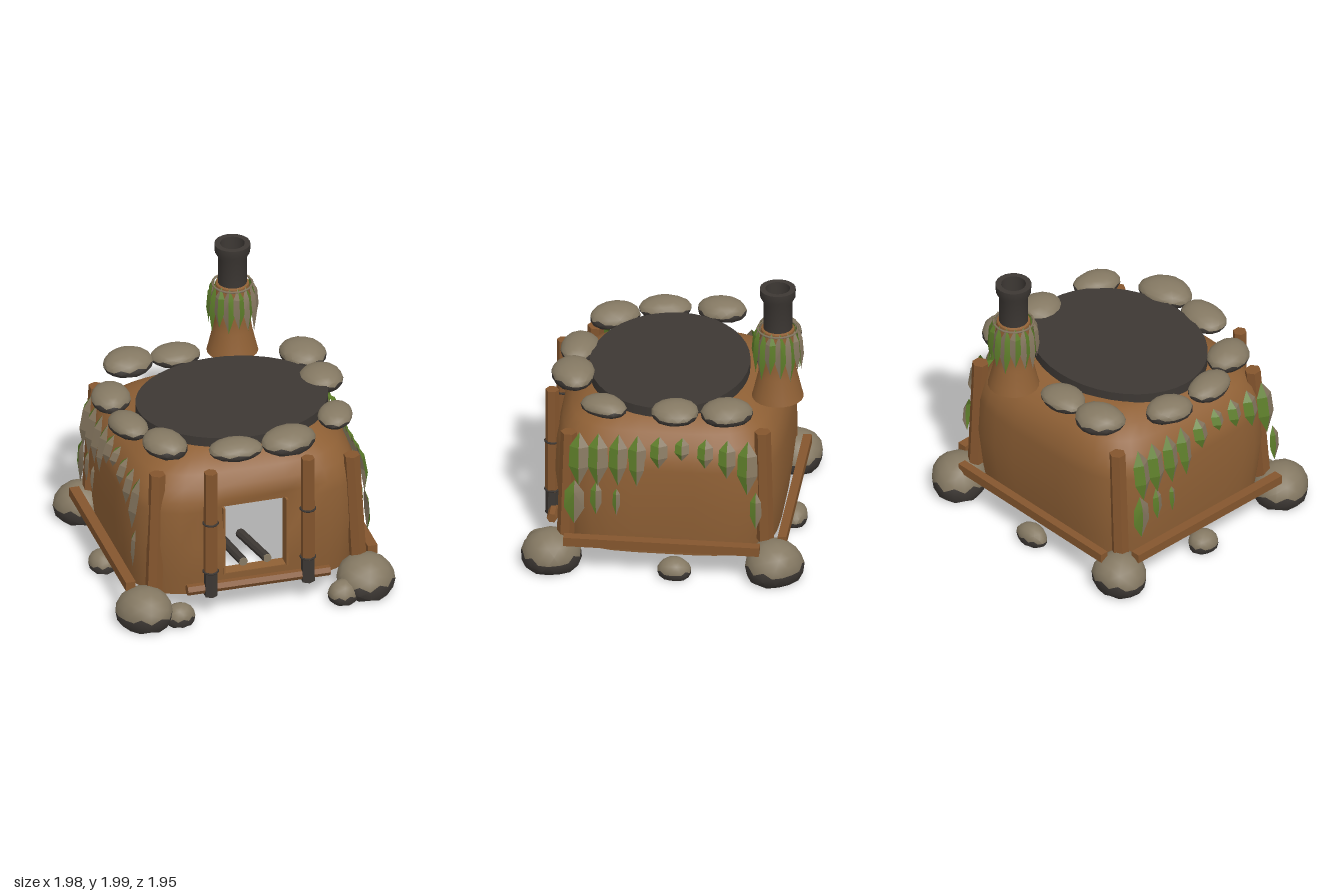
import * as THREE from 'three';
import { mergeVertices, toCreasedNormals } from 'three/addons/utils/BufferGeometryUtils.js';

const mat = (name, color, side = THREE.FrontSide) => {
  const m = new THREE.MeshStandardMaterial({ color, side });
  m.name = name;
  return m;
};

export function createModel() {
  const root = new THREE.Group();
  root.name = 'clayOven';
  const clay = mat('clay', 0x8f6035, THREE.DoubleSide);
  const wood = mat('wood', 0x85562e);
  const stone = mat('stone', 0x857963);
  const charcoal = mat('charcoal', 0x3d3834, THREE.DoubleSide);
  const green = mat('leafGreen', 0x5d7d2a, THREE.DoubleSide);
  const taupe = mat('leafTaupe', 0x85765f, THREE.DoubleSide);

  const add = (name, geo, material, x = 0, y = 0, z = 0, parent = root) => {
    const m = new THREE.Mesh(geo, material);
    m.name = name;
    m.position.set(x, y, z);
    parent.add(m);
    return m;
  };

  // Indexed geometry with two material groups
  const twoTone = (positions, first, second) => {
    const g = new THREE.BufferGeometry();
    g.setAttribute('position', new THREE.Float32BufferAttribute(positions, 3));
    g.setIndex([...first, ...second]);
    g.addGroup(0, first.length, 0);
    g.addGroup(first.length, second.length, 1);
    g.computeVertexNormals();
    return g;
  };

  // Clay body: superellipse sections [y, half width, half depth], open below, with a doorway
  const rows = [[0.15, 0.81, 0.75], [0.29, 0.825, 0.77], [0.55, 0.845, 0.80], [0.81, 0.835, 0.79], [0.88, 0.82, 0.775],
    [0.97, 0.785, 0.75], [1.05, 0.72, 0.69], [1.12, 0.62, 0.6], [1.16, 0.53, 0.51], [1.175, 0.48, 0.46]];
  const doorX = 0.22;
  const section = ([, a, b]) => {
    const quarter = [[doorX, b * Math.pow(1 - Math.pow(doorX / a, 4), 0.25)]];
    for (const deg of [76, 66, 56, 45, 34, 24, 13, 4]) {
      const t = deg * Math.PI / 180;
      quarter.push([a * Math.sqrt(Math.cos(t)), b * Math.sqrt(Math.sin(t))]);
    }
    const half = [...quarter, ...quarter.map(([x, z]) => [x, -z]).reverse()];
    return [...half, ...half.map(([x, z]) => [-x, z]).reverse()];
  };
  const pos = [], idx = [];
  let n = 0;
  rows.forEach((row, r) => {
    const pts = section(row);
    n = pts.length;
    pts.forEach(([x, z], j) => {
      const hood = r === 3 && (j === 0 || j === n - 1) ? 0.05 : 0;
      pos.push(x, row[0], z - 0.01 - hood);
    });
  });
  for (let r = 0; r < rows.length - 1; r++) {
    for (let j = 0; j < n; j++) {
      if (j === n - 1 && (r === 1 || r === 2)) continue;
      const k = (j + 1) % n, a = r * n + j, b = r * n + k;
      idx.push(a, b, b + n, a, b + n, a + n);
    }
  }
  const last = (rows.length - 1) * n;
  pos.push(0, 1.18, 0);
  for (let j = 0; j < n; j++) idx.push(last + j, last + (j + 1) % n, last + n);
  const bodyGeo = new THREE.BufferGeometry();
  bodyGeo.setAttribute('position', new THREE.Float32BufferAttribute(pos, 3));
  bodyGeo.setIndex(idx);
  bodyGeo.computeVertexNormals();
  add('body', bodyGeo, clay);

  // Doorway lining
  for (const s of [-1, 1]) add('doorJamb', new THREE.BoxGeometry(0.015, 0.52, 0.09), clay, s * 0.225, 0.55, 0.725);
  add('doorSill', new THREE.BoxGeometry(0.45, 0.015, 0.09), clay, 0, 0.285, 0.71);
  add('doorLintel', new THREE.BoxGeometry(0.45, 0.015, 0.06), clay, 0, 0.815, 0.70);

  // Cooking plate
  const plate = add('cookingPlate', new THREE.CylinderGeometry(1, 1, 0.07, 40), charcoal, 0.05, 1.205, 0.03);
  plate.scale.set(0.67, 1, 0.55);

  // Flat-bottomed stones with a sooty underside
  const makeStone = (name, x, y, z, rx, h, rz, turn, seed) => {
    let g = new THREE.IcosahedronGeometry(1, 2);
    g.deleteAttribute('normal');
    g.deleteAttribute('uv');
    g = mergeVertices(g, 1e-3);
    const p = g.attributes.position, v = new THREE.Vector3();
    for (let i = 0; i < p.count; i++) {
      v.fromBufferAttribute(p, i);
      const bump = 1 + 0.05 * Math.sin(2.3 * v.x + seed * 1.7) + 0.04 * Math.sin(3.1 * v.z + seed * 2.9 + v.y * 2);
      p.setXYZ(i, v.x * rx * bump, (Math.max(v.y, -0.55) + 0.55) / 1.55 * h, v.z * rz * bump);
    }
    const light = [], dark = [], ix = g.index.array;
    for (let i = 0; i < ix.length; i += 3) {
      const tri = [ix[i], ix[i + 1], ix[i + 2]];
      const cy = (p.getY(tri[0]) + p.getY(tri[1]) + p.getY(tri[2])) / 3;
      (cy < h * 0.36 ? dark : light).push(...tri);
    }
    const geo = toCreasedNormals(twoTone(Array.from(p.array), light, dark), 0.6);
    add(name, geo, [stone, charcoal], x, y, z).rotation.y = turn;
  };
  // x, z, half width, half depth, height, turn
  [[-0.5, -0.66, 0.18, 0.155, 0.14, 0.3], [-0.14, -0.67, 0.18, 0.13, 0.11, 0], [0.7, -0.44, 0.155, 0.18, 0.14, 0.3],
    [0.72, -0.08, 0.145, 0.175, 0.13, 0], [0.67, 0.41, 0.125, 0.16, 0.11, -0.4], [0.27, 0.67, 0.2, 0.15, 0.14, 0.25],
    [-0.11, 0.67, 0.19, 0.13, 0.12, -0.1], [-0.57, 0.48, 0.135, 0.19, 0.14, 0.4], [-0.73, 0.15, 0.13, 0.17, 0.12, 0.2],
    [-0.73, -0.24, 0.135, 0.175, 0.13, -0.2]]
    .forEach(([x, z, rx, rz, h, t], i) => makeStone('rimStone', x, 1.17, z, rx, h, rz, t, i));
  [[-0.79, 0.76, 0.2, 0.2, 0.265, 0.3], [0.79, 0.76, 0.2, 0.21, 0.27, 0.2], [-0.79, -0.75, 0.19, 0.19, 0.27, 0],
    [0.78, -0.77, 0.2, 0.2, 0.28, 0.6], [-0.56, 0.83, 0.11, 0.09, 0.15, 0], [0.6, 0.86, 0.11, 0.1, 0.16, 0.2],
    [0, -0.83, 0.12, 0.09, 0.14, 0], [0.84, -0.09, 0.1, 0.11, 0.14, 0], [-0.85, -0.03, 0.1, 0.11, 0.14, 0]]
    .forEach(([x, z, rx, rz, h, t], i) => makeStone('footStone', x, 0, z, rx, h, rz, t, i + 12));

  // Log between two points
  const log = (name, a, b, r, material, sides = 6) => {
    const A = new THREE.Vector3(...a), B = new THREE.Vector3(...b);
    const g = toCreasedNormals(new THREE.CylinderGeometry(r * 0.95, r, A.distanceTo(B), sides), 0.5);
    const m = add(name, g, material, ...A.clone().add(B).multiplyScalar(0.5).toArray());
    m.quaternion.setFromUnitVectors(new THREE.Vector3(0, 1, 0), B.sub(A).normalize());
    return m;
  };

  // Front poles with bindings and charred feet
  for (const x of [-0.335, 0.36]) {
    log('frontPole', [x, 0.35, 0.805], [x, 1.14, 0.805], 0.05, wood);
    log('charredPoleFoot', [x, 0.17, 0.805], [x, 0.35, 0.805], 0.049, charcoal);
    for (const y of [0.36, 0.74]) {
      add('poleBinding', new THREE.TorusGeometry(0.05, 0.008, 5, 12), charcoal, x, y, 0.805).rotation.x = Math.PI / 2;
    }
  }

  // Corner posts
  log('cornerPost', [0.76, 0.2, 0.67], [0.72, 1.02, 0.65], 0.06, wood);
  log('cornerPost', [-0.70, 0.2, 0.67], [-0.66, 1.08, 0.62], 0.06, wood);
  log('cornerPost', [-0.74, 0.25, -0.70], [-0.70, 1.05, -0.69], 0.06, wood);
  log('cornerPost', [0.70, 0.25, -0.70], [0.68, 1.08, -0.68], 0.06, wood);

  // Base beams
  for (const s of [-1, 1]) add('sideBeam', new THREE.BoxGeometry(0.07, 0.065, 1.35), wood, s * 0.865, 0.25, -0.005);
  add('backBeam', new THREE.BoxGeometry(1.44, 0.065, 0.06), wood, 0, 0.25, -0.825).rotation.y = -0.01;
  log('frontBeam', [-0.5, 0.225, 0.79], [0.52, 0.215, 0.79], 0.038, wood);

  // Firewood
  for (const [x0, x1] of [[-0.07, -0.13], [0.10, 0.02]]) {
    log('firewood', [x1, 0.33, 0.32], [x0, 0.33, 0.70], 0.034, charcoal, 8);
    log('firewoodEnd', [x0, 0.33, 0.70], [x0, 0.33, 0.705], 0.033, stone, 8);
  }

  // Folded two-colour leaf hanging from its origin and facing +z
  const leafGeo = (w, h, bulge, mid, tip) => {
    const y1 = -0.25 * h, y2 = -0.62 * h, e = w / 2;
    const pts = [0, 0, 0, 0, y1, bulge, 0, y2, mid, 0, -h, tip];
    const left = [-e * 0.95, y1, bulge * 0.45, -e, y2, mid * 0.6], right = [e * 0.95, y1, bulge * 0.45, e, y2, mid * 0.6];
    const g = twoTone([...pts, ...left, ...right],
      [0, 4, 1, 4, 5, 1, 1, 5, 2, 5, 3, 2], [0, 1, 6, 1, 2, 7, 1, 7, 6, 2, 3, 7]);
    return toCreasedNormals(g, 0.3);
  };

  // Leaf curtains on both sides: z, top, bottom, width
  const curtain = [[0.57, 1.05, 0.66, 0.14], [0.44, 1.05, 0.67, 0.14], [0.3, 1.05, 0.68, 0.13], [0.17, 1.05, 0.66, 0.13],
    [0.02, 1.05, 0.83, 0.12], [-0.14, 1.05, 0.9, 0.1], [-0.3, 1.05, 0.85, 0.11], [-0.45, 1.05, 0.78, 0.12],
    [-0.59, 1.05, 0.66, 0.14], [0.6, 0.7, 0.37, 0.14], [0.45, 0.7, 0.45, 0.08], [0.31, 0.67, 0.45, 0.05], [-0.65, 0.68, 0.4, 0.08]];
  for (const turn of [0, Math.PI]) {
    const side = new THREE.Group();
    side.name = 'leafCurtain';
    side.rotation.y = turn;
    root.add(side);
    for (const [z, top, bottom, w] of curtain) {
      const upper = top > 1;
      const g = upper ? leafGeo(w, top - bottom, 0.06, 0.085, 0.06) : leafGeo(w, top - bottom, 0.03, 0.035, 0.02);
      add('leaf', g, [green, taupe], upper ? 0.775 : 0.825, top, z, side).rotation.y = Math.PI / 2;
    }
  }

  // Chimney
  const chimney = new THREE.Group();
  chimney.name = 'chimney';
  chimney.position.set(0.285, 0, -0.74);
  root.add(chimney);
  const lathe = (pts) => toCreasedNormals(new THREE.LatheGeometry(pts.map(([r, y]) => new THREE.Vector2(r, y)), 20), 0.6);
  add('chimneyBase', lathe([[0.178, 1.15], [0.165, 1.2], [0.135, 1.33], [0.125, 1.4], [0.13, 1.55], [0.115, 1.68], [0.09, 1.69]]),
    clay, 0, 0, 0, chimney);
  add('chimneyPipe', lathe([[0.1, 1.64], [0.1, 1.89], [0.122, 1.93], [0.124, 1.99], [0.085, 1.99], [0.085, 1.64]]),
    charcoal, 0, 0, 0, chimney);
  add('leafBinding', new THREE.TorusGeometry(0.138, 0.008, 5, 20), taupe, 0, 1.675, 0, chimney).rotation.x = Math.PI / 2;
  for (let i = 0; i < 14; i++) {
    const a = i / 14 * Math.PI * 2;
    const g = leafGeo(0.078, 0.31 + 0.03 * (i % 3), 0.04, 0.05, 0.03);
    add('chimneyLeaf', g, [taupe, green], Math.sin(a) * 0.13, 1.7, Math.cos(a) * 0.13, chimney).rotation.y = a;
  }

  return root;
}
